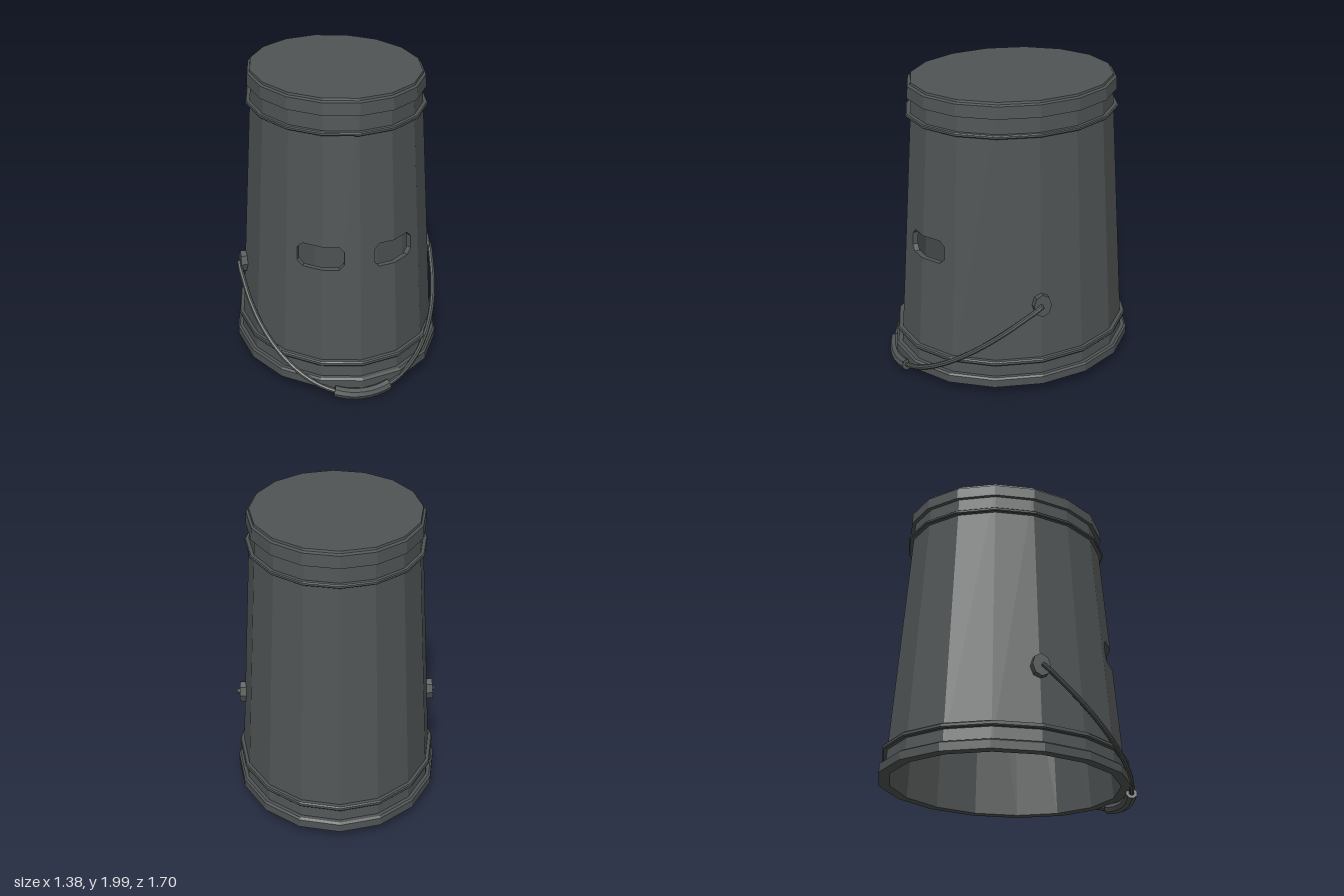
import * as THREE from 'three';

const SIDES = 16, STEP = (Math.PI * 2) / SIDES;
const DEPTH = 1.2, ZC = -0.02;             // oval stretch and centre in z
const BOTTOM = 0.085, TOP = 1.99, WALL = 0.03;
const radiusAt = (y) => 0.66 - ((y - BOTTOM) / (TOP - BOTTOM)) * 0.115;

export function createModel() {
  const model = new THREE.Group();
  model.name = 'bucketHelmet';
  const metal = new THREE.MeshStandardMaterial({ color: 0x505454, flatShading: true });
  const add = (name, geometry, parent = model) => {
    const mesh = new THREE.Mesh(geometry, metal);
    mesh.name = name;
    parent.add(mesh);
    return mesh;
  };

  // Wall: one staved panel per side, those at the front notched for the eye slots
  const wall = new THREE.Group();
  wall.name = 'wall';
  model.add(wall);
  const notches = { 0: [0.42, 0.13, false], 1: [0.69, 0.15, true] };
  for (let i = 0; i < SIDES; i++) {
    const mirrored = i >= SIDES / 2;
    const notch = notches[mirrored ? SIDES - 1 - i : i];
    add('panel', panel(i, notch, mirrored), wall);
  }

  // Oval hoops and lids from turned profiles
  const turned = (name, points) => {
    const g = new THREE.LatheGeometry(points.map(([r, y]) => new THREE.Vector2(r, y)), SIDES);
    g.scale(1, 1, DEPTH);
    g.translate(0, 0, ZC);
    return add(name, g);
  };
  turned('bottomRim', [[0.63, 0.15], [0.63, 0.083], [0.69, 0.083], [0.69, 0.137], [0.678, 0.148], [0.65, 0.148]]);
  for (const [name, y, h] of [['lowerHoop', 0.25, 0.016], ['upperHoop', 1.787, 0.012]]) {
    const r = radiusAt(y);
    turned(name, [[r - 0.01, y - h], [r + 0.02, y - h], [r + 0.026, y - h * 0.5],
      [r + 0.026, y + h * 0.5], [r + 0.02, y + h], [r - 0.01, y + h]]);
  }
  turned('topRim', [[0.54, 1.9], [0.573, 1.9], [0.568, 1.978], [0.553, 1.986], [0.55, 2], [0, 2]]);
  turned('innerLid', [[0, 1.97], [0.53, 1.97]]);

  // Handle pivots
  for (const s of [1, -1]) {
    const g = new THREE.CylinderGeometry(1, 1, 0.05, 8);
    g.rotateZ(Math.PI / 2);
    g.scale(1, 0.078, 0.06);
    const ear = add(s > 0 ? 'leftPivot' : 'rightPivot', g);
    ear.position.set(s * 0.636, 0.652, ZC);
    ear.rotation.z = s * 0.06;
  }

  // Bail handle hanging forward in a slanted half oval
  const bail = (t) => new THREE.Vector3(
    0.662 * Math.cos(t), 0.66 - 0.615 * Math.sin(t), ZC + 0.83 * Math.sin(t));
  const arc = (from, to, n) => Array.from({ length: n + 1 }, (_, i) => bail(from + ((to - from) * i) / n));
  const wire = new THREE.CatmullRomCurve3([
    new THREE.Vector3(0.62, 0.665, ZC), ...arc(0, Math.PI, 20), new THREE.Vector3(-0.62, 0.665, ZC)]);
  add('handleWire', new THREE.TubeGeometry(wire, 48, 0.017, 8));

  // Thicker grip at the middle, closed at both ends
  const half = 0.275;
  const gripPath = new THREE.CatmullRomCurve3(arc(Math.PI / 2 - half, Math.PI / 2 + half, 6));
  add('handleGrip', new THREE.TubeGeometry(gripPath, 8, 0.038, 8));
  for (const u of [0, 1]) {
    const cap = add('gripEnd', new THREE.CircleGeometry(0.038, 8));
    const outward = gripPath.getTangent(u).multiplyScalar(u ? 1 : -1);
    cap.position.copy(gripPath.getPoint(u));
    cap.quaternion.setFromUnitVectors(new THREE.Vector3(0, 0, 1), outward);
  }
  return model;
}

// A flat stave in (u, y), extruded through the wall and laid on side i of the oval
function panel(i, notch, mirrored) {
  const lo = 0.895, hi = 1.05, c = 0.035;
  let points = [[0, BOTTOM], [1, BOTTOM], [1, TOP], [0, TOP]];
  if (notch) {
    const [u, du, fromStart] = notch;
    points = fromStart
      ? [[0, BOTTOM], [1, BOTTOM], [1, TOP], [0, TOP], [0, hi], [u - du, hi], [u, hi - c], [u, lo + c], [u - du, lo], [0, lo]]
      : [[0, BOTTOM], [1, BOTTOM], [1, lo], [u + du, lo], [u, lo + c], [u, hi - c], [u + du, hi], [1, hi], [1, TOP], [0, TOP]];
    if (mirrored) points = points.map(([a, y]) => [1 - a, y]).reverse();
  }
  const shape = new THREE.Shape(points.map(([u, y]) => new THREE.Vector2(u, y)));
  const flat = new THREE.ExtrudeGeometry(shape, { depth: WALL, bevelEnabled: false }).toNonIndexed();
  const p = flat.attributes.position, out = [];
  const a0 = i * STEP, a1 = a0 + STEP;
  for (let t = 0; t < p.count; t += 3) {
    const us = [p.getX(t), p.getX(t + 1), p.getX(t + 2)];
    // Leave out the hidden seams between neighbouring panels
    if (us.every((u) => u < 1e-6) || us.every((u) => u > 1 - 1e-6)) continue;
    us.forEach((u, k) => {
      const y = p.getY(t + k), r = radiusAt(y) - WALL + p.getZ(t + k);
      out.push(r * THREE.MathUtils.lerp(Math.sin(a0), Math.sin(a1), u), y,
        ZC + DEPTH * r * THREE.MathUtils.lerp(Math.cos(a0), Math.cos(a1), u));
    });
  }
  const g = new THREE.BufferGeometry();
  g.setAttribute('position', new THREE.Float32BufferAttribute(out, 3));
  g.computeVertexNormals();
  return g;
}
